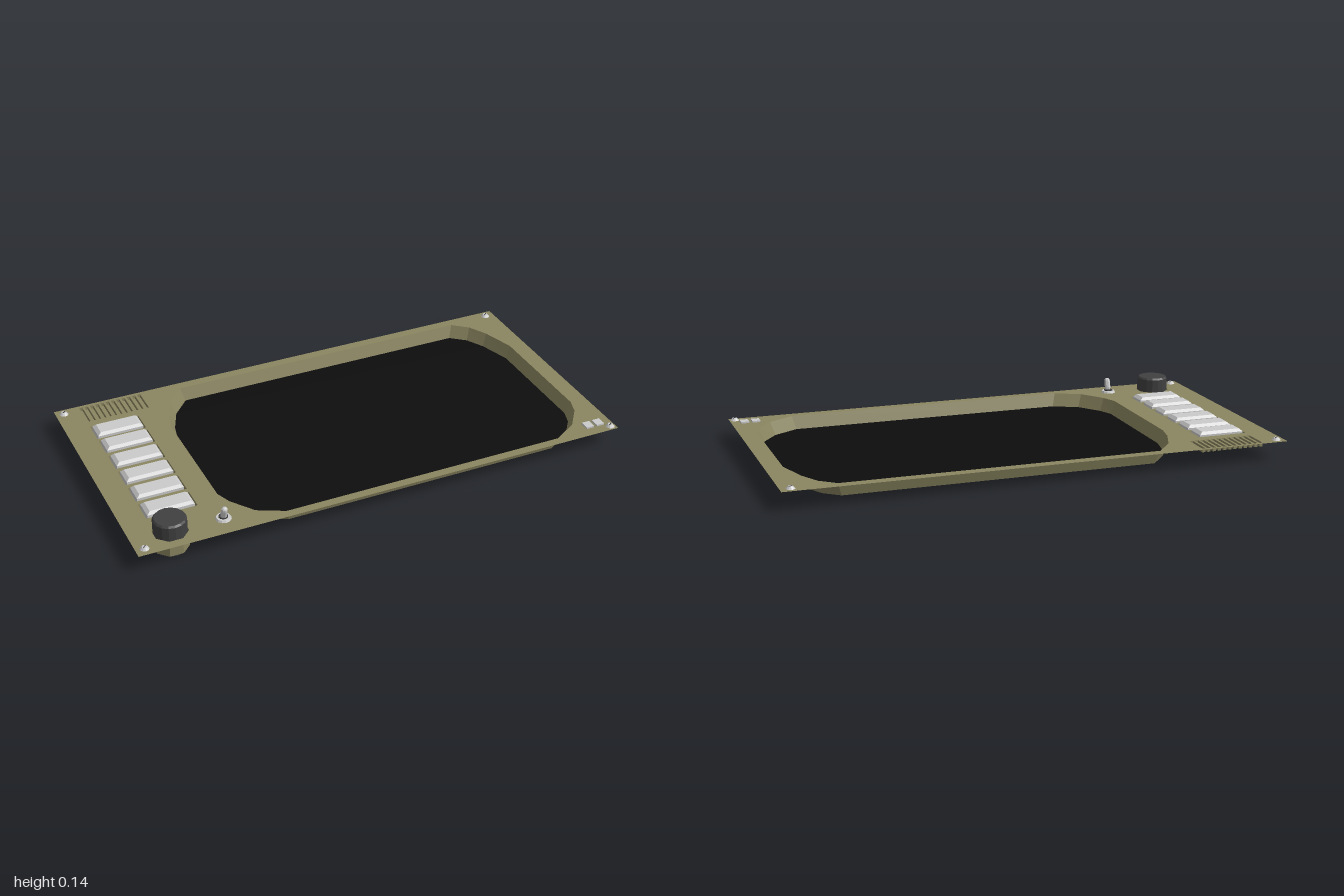
import * as THREE from 'three';

const mat = (color, side = THREE.FrontSide) =>
  new THREE.MeshStandardMaterial({ color, side, flatShading: true });
const olive = mat(0x8a8560, THREE.DoubleSide);
const grey = mat(0xcccccc);
const dark = mat(0x404040);
const black = mat(0x0d0d0d, THREE.DoubleSide);
const PLATE = 0.075;

// Outlines are lists of [x, z] points
const rect = (x, z, w, d) => [
  [x - w / 2, z + d / 2], [x + w / 2, z + d / 2],
  [x + w / 2, z - d / 2], [x - w / 2, z - d / 2]];
const ngon = (x, z, r, n) => Array.from({ length: n }, (_, i) => {
  const a = ((i + 0.5) / n) * Math.PI * 2;
  return [x + r * Math.cos(a), z - r * Math.sin(a)];
});
const scaled = (pts, cx, cz, sx, sz) =>
  pts.map(([x, z]) => [cx + (x - cx) * sx, cz + (z - cz) * sz]);
const toVectors = pts => pts.map(([x, z]) => new THREE.Vector2(x, -z));

// Horizontal sheet with optional holes
function sheet(pts, y, holes = []) {
  const shape = new THREE.Shape(toVectors(pts));
  holes.forEach(h => shape.holes.push(new THREE.Path(toVectors(h))));
  return new THREE.ShapeGeometry(shape).rotateX(-Math.PI / 2).translate(0, y, 0);
}

// Band of quads between two outlines, facing outward
function band(low, yLow, high, yHigh) {
  const pos = [];
  low.forEach((_, i) => {
    const j = (i + 1) % low.length;
    const a = [low[i][0], yLow, low[i][1]], b = [low[j][0], yLow, low[j][1]];
    const c = [high[j][0], yHigh, high[j][1]], d = [high[i][0], yHigh, high[i][1]];
    pos.push(...a, ...b, ...c, ...a, ...c, ...d);
  });
  const g = new THREE.BufferGeometry();
  g.setAttribute('position', new THREE.Float32BufferAttribute(pos, 3));
  g.computeVertexNormals();
  return g;
}

export function createModel() {
  const model = new THREE.Group();
  const add = (name, geometry, material, parent = model) => {
    const mesh = new THREE.Mesh(geometry, material);
    mesh.name = name;
    parent.add(mesh);
    return mesh;
  };
  const group = name => {
    const g = new THREE.Group();
    g.name = name;
    model.add(g);
    return g;
  };
  const holes = [];

  // Screen at the bottom of a sloping tray
  const screen = [
    [-0.40, 0.47], [0.73, 0.47], [0.83, 0.41], [0.89, 0.33], [0.91, 0.27],
    [0.91, -0.21], [0.87, -0.34], [0.83, -0.415], [0.77, -0.465],
    [-0.46, -0.465], [-0.53, -0.385], [-0.57, -0.29], [-0.588, -0.21],
    [-0.588, 0.27], [-0.565, 0.33], [-0.50, 0.42]];
  const rim = scaled(screen, 0.16, 0, 1.026, 1.035);
  holes.push(rim);
  add('screen', sheet(screen, 0.022), black);
  add('screenTray', band(screen, 0.022, rim, PLATE), olive);

  // Six bevelled buttons in tapered wells
  const buttons = group('buttons');
  [-0.31, -0.2, -0.083, 0.035, 0.152, 0.268].forEach(z => {
    const mouth = rect(-0.8, z, 0.2, 0.096);
    const base = rect(-0.8, z, 0.186, 0.08);
    const top = rect(-0.8, z, 0.16, 0.062);
    holes.push(mouth);
    add('buttonWell', band(rect(-0.8, z, 0.186, 0.08), 0.038, mouth, PLATE), olive, buttons);
    add('buttonBody', band(base, 0.04, base, 0.08), grey, buttons);
    add('buttonBevel', band(base, 0.08, top, 0.091), grey, buttons);
    add('buttonTop', sheet(top, 0.091), grey, buttons);
    add('buttonUnderside', sheet(base, 0.04).rotateZ(Math.PI).translate(-1.6, 0.08, 0), grey, buttons);
  });

  // Row of shallow vent slots
  const vents = group('vents');
  for (let i = 0; i < 12; i++) {
    const slot = rect(-0.892 + i * 0.0223, -0.453, 0.013, 0.11);
    holes.push(slot);
    add('ventWall', band(slot, 0.06, slot, PLATE), olive, vents);
    add('ventFloor', sheet(slot, 0.06), olive, vents);
  }

  // Dial in an octagonal housing
  const [kx, kz] = [-0.845, 0.42];
  const dial = group('dial');
  const socket = ngon(kx, kz, 0.069, 8);
  holes.push(socket);
  add('dialHousing', band(socket, 0.008, socket, PLATE), olive, dial);
  add('dialHousingFloor', sheet(socket, 0.008), olive, dial);
  add('dialShaft', new THREE.CylinderGeometry(0.06, 0.06, 0.02, 12).translate(kx, 0.01, kz), dark, dial);
  const knobProfile = [[0, 0.06], [0.064, 0.06], [0.064, 0.128], [0.058, 0.135], [0, 0.135]]
    .map(([r, y]) => new THREE.Vector2(r, y));
  add('dialKnob', new THREE.LatheGeometry(knobProfile, 16).translate(kx, 0, kz), dark, dial);

  // Toggle switch leaning towards the front
  const toggle = group('toggleSwitch');
  toggle.position.set(-0.643, PLATE, 0.432);
  add('toggleCollar', new THREE.CylinderGeometry(0.027, 0.031, 0.008, 12).translate(0, 0.004, 0), grey, toggle);
  add('toggleNut', new THREE.CylinderGeometry(0.018, 0.018, 0.012, 12).translate(0, 0.006, 0), dark, toggle);
  add('toggleBushing', new THREE.CylinderGeometry(0.008, 0.008, 0.025, 8).translate(0, -0.004, 0), grey, toggle);
  const lever = add('toggleLever', new THREE.CapsuleGeometry(0.013, 0.03, 3, 8).translate(0, 0.034, 0), grey, toggle);
  lever.rotation.x = 0.3;

  // Pair of indicator lamps
  const lamps = group('indicatorLamps');
  [0.9, 0.946].forEach(x => {
    const mouth = rect(x, 0.457, 0.036, 0.042);
    holes.push(mouth);
    add('lampHousing', band(mouth, 0.06, mouth, PLATE), olive, lamps);
    add('lampLens', new THREE.BoxGeometry(0.033, 0.02, 0.039).translate(x, 0.071, 0.457), grey, lamps);
  });

  // Corner screws with a slotted head
  const screws = group('screws');
  [[-0.967, -0.49], [0.96, -0.49], [-0.965, 0.485], [0.978, 0.497]].forEach(([x, z]) => {
    add('screwHead', new THREE.CylinderGeometry(0.01, 0.018, 0.01, 10)
      .translate(x, PLATE + 0.005, z), grey, screws);
    add('screwSlot', new THREE.BoxGeometry(0.016, 0.001, 0.004)
      .rotateY(0.7).translate(x, PLATE + 0.0102, z), dark, screws);
  });

  // Thin face plate with all openings
  add('facePlate', sheet(rect(0, 0, 2, 1.044), PLATE, holes), olive);
  return model;
}
